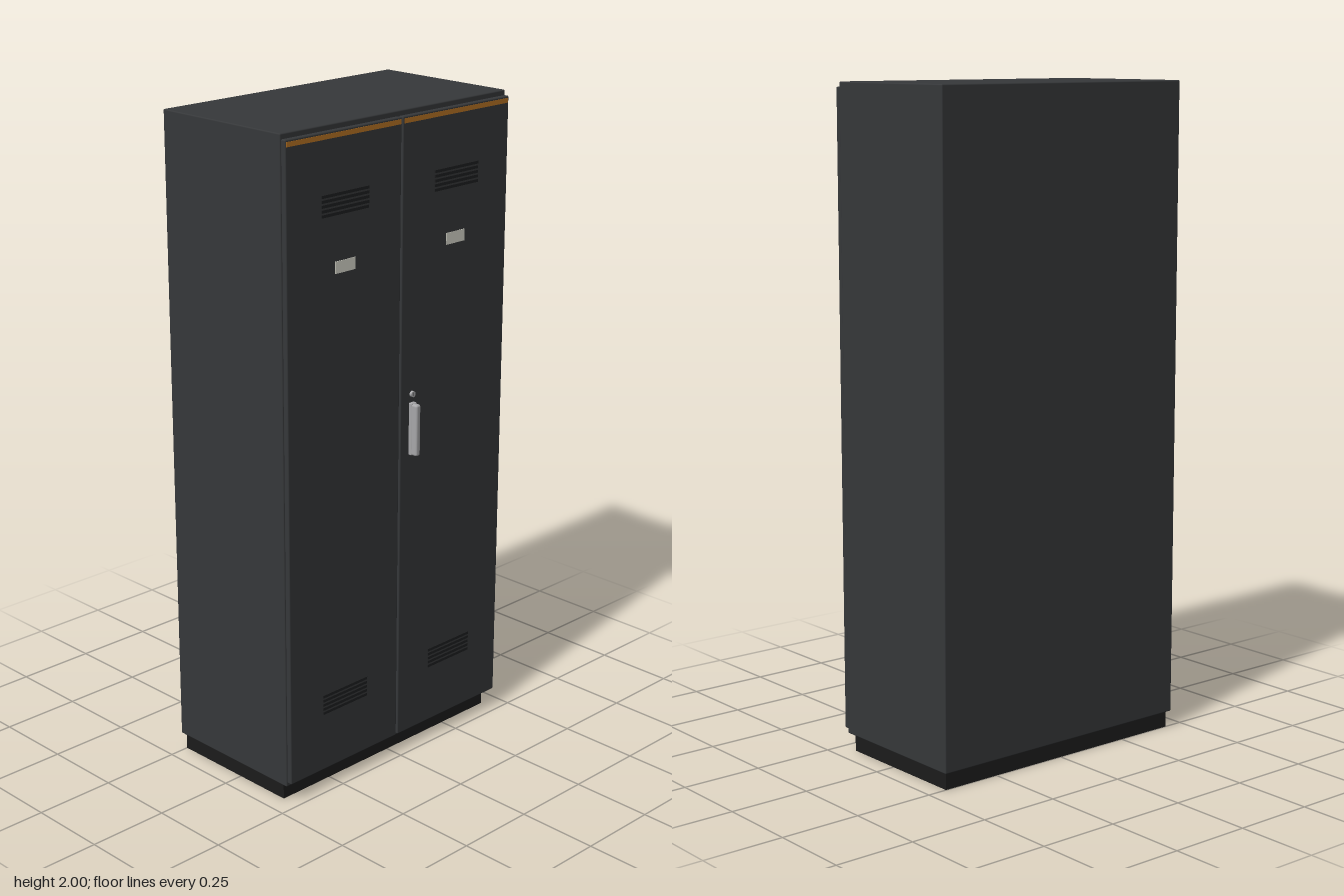
import * as THREE from 'three';
import { RoundedBoxGeometry } from 'three/addons/geometries/RoundedBoxGeometry.js';

const paint = (color) => new THREE.MeshStandardMaterial({ color });

export function createModel() {
  const model = new THREE.Group();
  model.name = 'lockerCabinet';
  const mats = {
    shell: paint(0x36383a), base: paint(0x1c1c1c), slat: paint(0x1e1f20),
    trim: paint(0xb87424), label: paint(0xd8d8cc), metal: paint(0xa8a8aa), dark: paint(0x4a4a4c),
  };

  // Box given by its min and max corners, with an optional edge radius
  const box = (parent, name, mat, [x0, y0, z0], [x1, y1, z1], r = 0) => {
    const s = [x1 - x0, y1 - y0, z1 - z0];
    const geo = r ? new RoundedBoxGeometry(...s, 2, r) : new THREE.BoxGeometry(...s);
    const mesh = new THREE.Mesh(geo, mat);
    mesh.position.set((x0 + x1) / 2, (y0 + y1) / 2, (z0 + z1) / 2);
    mesh.name = name;
    parent.add(mesh);
    return mesh;
  };

  // Plinth and carcass
  box(model, 'plinth', mats.base, [-0.438, 0, -0.25], [0.438, 0.06, 0.19]);
  box(model, 'carcass', mats.shell, [-0.449, 0.052, -0.262], [0.449, 2, 0.214], 0.004);

  // Two doors, each with trim, label and two louvred vents
  for (const side of [-1, 1]) {
    const door = new THREE.Group();
    door.name = side > 0 ? 'leftDoor' : 'rightDoor';
    const c = side * 0.2245;
    box(door, 'doorPanel', mats.shell, [c - 0.222, 0.065, 0.214], [c + 0.222, 1.985, 0.232], 0.004);
    box(door, 'trimStrip', mats.trim, [c - 0.218, 1.965, 0.228], [c + 0.218, 1.979, 0.233]);
    box(door, 'nameLabel', mats.label, [c - 0.039, 1.585, 0.23], [c + 0.039, 1.62, 0.2335]);
    for (const [name, y] of [['lowerVent', 0.28], ['upperVent', 1.782]]) {
      const vent = new THREE.Group();
      vent.name = name;
      for (let i = -2; i <= 2; i++) {
        const yy = y + i * 0.0135;
        box(vent, 'ventSlat', mats.slat, [c - 0.091, yy - 0.0042, 0.228], [c + 0.091, yy + 0.0042, 0.235]);
      }
      door.add(vent);
    }
    model.add(door);
  }

  // Handle on the left door: mounting plate and rounded grip
  const handle = new THREE.Group();
  handle.name = 'handle';
  box(handle, 'handlePlate', mats.metal, [0.038, 0.975, 0.23], [0.06, 1.137, 0.243], 0.003);
  box(handle, 'handleGrip', mats.metal, [0.039, 0.975, 0.236], [0.059, 1.135, 0.262], 0.007);
  model.add(handle);

  // Lock cylinder with key slot above the handle
  const lock = new THREE.Group();
  lock.name = 'lock';
  const barrel = new THREE.Mesh(new THREE.CylinderGeometry(0.009, 0.009, 0.012, 24), mats.metal);
  barrel.rotation.x = Math.PI / 2;
  barrel.position.set(0.049, 1.163, 0.234);
  barrel.name = 'lockBarrel';
  lock.add(barrel);
  box(lock, 'keySlot', mats.dark, [0.0475, 1.158, 0.238], [0.0505, 1.168, 0.2405]);
  model.add(lock);

  return model;
}
